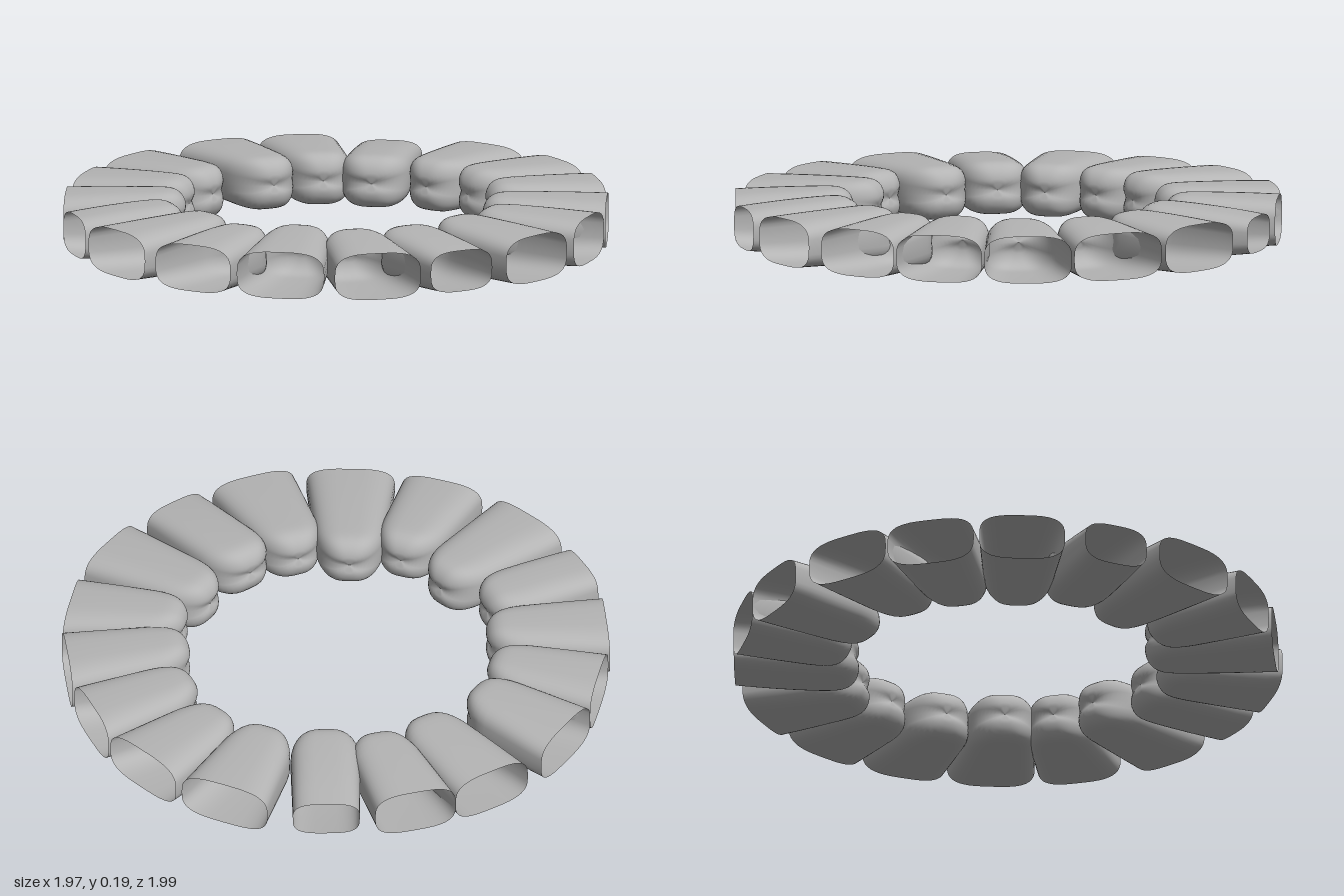
import * as THREE from 'three';

const MID = 0.103;     // height of the ring's middle plane
const HALF = 0.097;    // half height of a pod
const AROUND = 40;

// Each pod: mouth corner A (x, z), mouth corner B, closed inner tip, half height of the mouth
const PODS = [
  [0.04, -1.0, 0.34, -0.93, 0.12, -0.53, 0.085],
  [0.34, -0.93, 0.60, -0.78, 0.30, -0.48, 0.085],
  [0.64, -0.74, 0.81, -0.57, 0.405, -0.34, 0.065],
  [0.86, -0.49, 0.97, -0.17, 0.53, -0.19, 0.085],
  [0.98, -0.15, 0.965, 0.19, 0.575, -0.01, 0.085],
  [0.965, 0.20, 0.84, 0.49, 0.515, 0.20, 0.085],
  [0.84, 0.50, 0.64, 0.745, 0.38, 0.355, 0.085],
  [0.63, 0.75, 0.37, 0.915, 0.265, 0.48, 0.085],
  [0.32, 0.94, 0.01, 0.99, 0.10, 0.51, 0.085],
  [-0.05, 0.985, -0.295, 0.945, -0.125, 0.53, 0.075],
  [-0.325, 0.925, -0.61, 0.79, -0.30, 0.465, 0.085],
  [-0.63, 0.75, -0.845, 0.515, -0.395, 0.31, 0.085],
  [-0.855, 0.49, -0.98, 0.21, -0.54, 0.20, 0.085],
  [-0.99, 0.16, -0.99, -0.175, -0.52, -0.01, 0.085],
  [-0.97, -0.22, -0.895, -0.45, -0.54, -0.22, 0.075],
  [-0.85, -0.51, -0.65, -0.745, -0.42, -0.345, 0.085],
  [-0.63, -0.755, -0.36, -0.925, -0.29, -0.48, 0.085],
  [-0.355, -0.93, -0.03, -1.0, -0.135, -0.55, 0.085],
];

// Distances from the tip, closer together where the end is rounded
const STEPS = [0, 0.001, 0.003, 0.007, 0.013, 0.022, 0.033, 0.047, 0.064, 0.085, 0.11, 0.14, 0.19, 0.25, 0.31, 0.37, 0.43, 1];

const roundEnd = (s, r, n) => (s >= r ? 1 : Math.pow(1 - Math.pow(1 - s / r, n), 1 / n));
const power = (v, e) => Math.sign(v) * Math.pow(Math.abs(v), e);

// A hollow pod: rounded-rectangle sections lofted from a closed tip to an open mouth
function podGeometry([ax, az, bx, bz, tx, tz, mouthHalf]) {
  const tip = new THREE.Vector3(tx, MID, tz);
  const mouth = new THREE.Vector3((ax + bx) / 2, MID, (az + bz) / 2);
  const axis = mouth.clone().sub(tip);
  const length = axis.length();
  axis.normalize();
  const side = new THREE.Vector3(ax - bx, 0, az - bz);
  const mouthWidth = side.length() / 2;
  side.normalize();
  const shoulder = mouthWidth < 0.13 ? 0.128 : 0.112;

  const positions = [], index = [];
  const steps = STEPS.filter((s) => s < length - 0.02).concat(length);
  steps.forEach((s, i) => {
    const t = s / length;
    const w = THREE.MathUtils.lerp(shoulder, mouthWidth, t) * roundEnd(s, 0.15, 2.3);
    const h = THREE.MathUtils.lerp(HALF, mouthHalf, t * t) * roundEnd(s, 0.09, 2.8);
    for (let j = 0; j < AROUND; j++) {
      const a = (j / AROUND) * Math.PI * 2;
      const x = w * power(Math.cos(a), 0.62);
      const y = h * power(Math.sin(a), 0.62);
      // shallow horizontal crease dividing the tip into two lobes
      const crease = 0.014 * Math.exp(-((y / 0.02) ** 2)) * Math.max(0, 1 - s / 0.15);
      const p = tip.clone().addScaledVector(axis, s + crease).addScaledVector(side, x);
      positions.push(p.x, p.y + y, p.z);
      if (i < steps.length - 1) {
        const k = i * AROUND, n = (j + 1) % AROUND;
        const p0 = k + j, p1 = k + n, q0 = p0 + AROUND, q1 = p1 + AROUND;
        if (i > 0) index.push(p0, p1, q0);
        index.push(p1, q1, q0);
      }
    }
  });
  const geometry = new THREE.BufferGeometry();
  geometry.setAttribute('position', new THREE.Float32BufferAttribute(positions, 3));
  geometry.setIndex(index);
  geometry.computeVertexNormals();
  return geometry;
}

export function createModel() {
  const group = new THREE.Group();
  group.name = 'podRing';
  const grey = new THREE.MeshStandardMaterial({ color: 0xb4b4b4, side: THREE.DoubleSide });
  grey.name = 'grey';
  PODS.forEach((pod, i) => {
    const mesh = new THREE.Mesh(podGeometry(pod), grey);
    mesh.name = `pod${i + 1}`;
    group.add(mesh);
  });
  return group;
}
